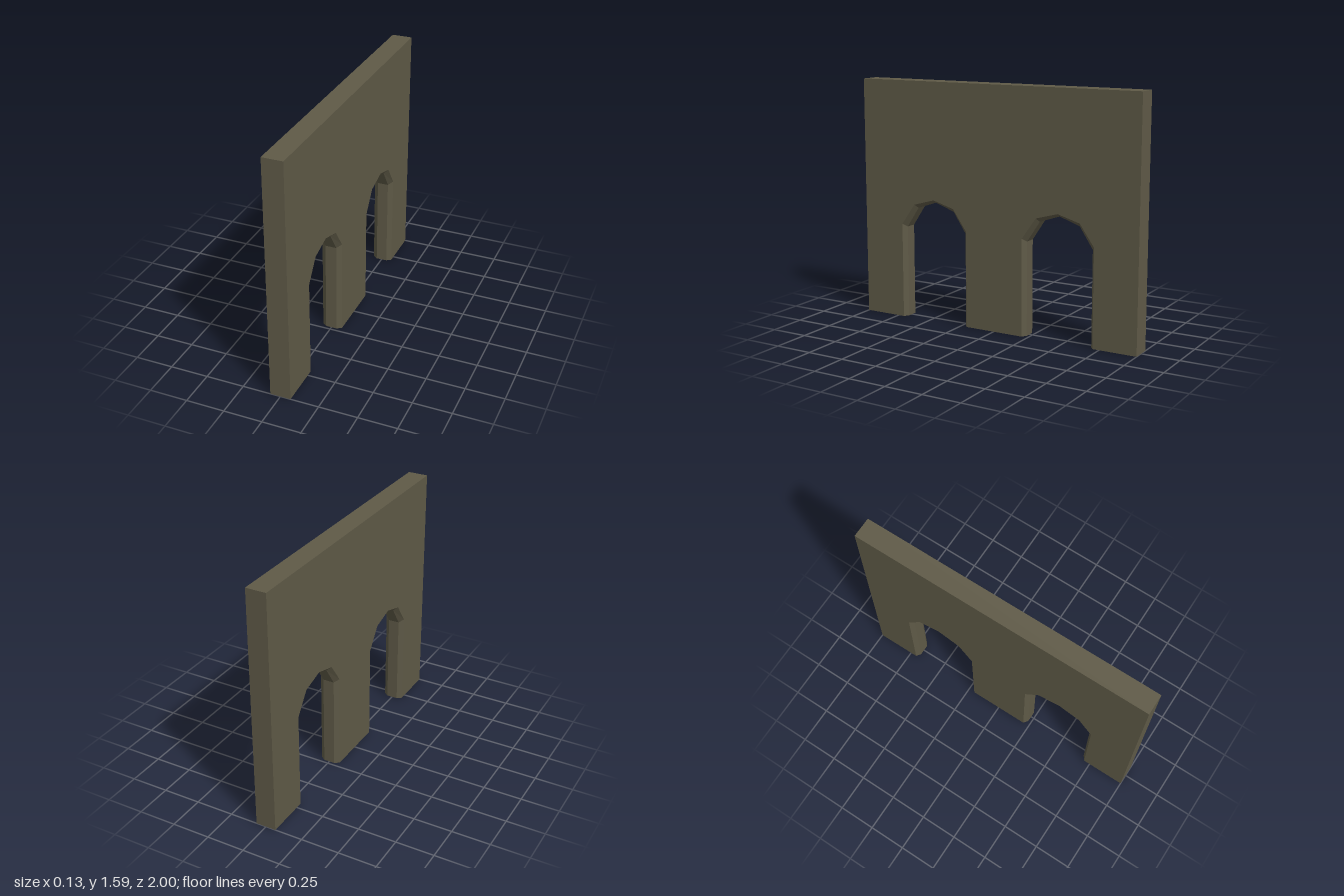
import * as THREE from 'three';

const HALF = 0.067;      // half thickness of the wall
const CORE = 0.037;      // half thickness between the chamfers
const HEIGHT = 1.593;
const ARCH_Z = 0.456;    // arch centres at +/- this z

// Half arch outlines [offset from arch centre, height], foot to apex
const mirrorArch = half => [
  ...half.map(([d, y]) => [-d, y]),
  ...half.slice(0, -1).reverse(),
];
const OUTER = mirrorArch([[0.25, 0], [0.25, 0.638], [0.152, 0.777], [0, 0.82]]);
const INNER = mirrorArch([[0.228, 0], [0.228, 0.617], [0.138, 0.753], [0, 0.8]]);

const shapeOf = points => new THREE.Shape(points.map(([x, y]) => new THREE.Vector2(x, y)));

// Chamfered lining of one arch, lofted across the thickness
function archReveal(centre) {
  const sections = [[-HALF, OUTER], [-CORE, INNER], [CORE, INNER], [HALF, OUTER]];
  const positions = [];
  const corner = (s, i) => {
    const [x, outline] = sections[s];
    return [x, outline[i][1], centre - outline[i][0]];
  };
  for (let s = 0; s < sections.length - 1; s++) {
    for (let i = 0; i < OUTER.length - 1; i++) {
      const a = corner(s, i), b = corner(s, i + 1);
      const c = corner(s + 1, i + 1), d = corner(s + 1, i);
      positions.push(...a, ...b, ...c, ...a, ...c, ...d);
    }
  }
  const geometry = new THREE.BufferGeometry();
  geometry.setAttribute('position', new THREE.Float32BufferAttribute(positions, 3));
  geometry.computeVertexNormals();
  return geometry;
}

export function createModel() {
  const wall = new THREE.Group();
  wall.name = 'archedWall';
  const stone = new THREE.MeshStandardMaterial({ color: 0x5f5a47 });
  stone.name = 'oliveStone';

  const add = (name, geometry, x = 0, y = 0, z = 0) => {
    const mesh = new THREE.Mesh(geometry, stone);
    mesh.name = name;
    mesh.position.set(x, y, z);
    wall.add(mesh);
  };

  // Broad faces with both archways cut from the bottom edge
  const outline = [
    [-1, 0],
    ...OUTER.map(([d, y]) => [d - ARCH_Z, y]),
    ...OUTER.map(([d, y]) => [d + ARCH_Z, y]),
    [1, 0], [1, HEIGHT], [-1, HEIGHT],
  ];
  for (const side of [1, -1]) {
    const face = new THREE.ShapeGeometry(shapeOf(outline)).rotateY(side * Math.PI / 2);
    add(side > 0 ? 'leftFace' : 'rightFace', face, side * HALF);
  }

  // Top and end faces
  add('topFace', new THREE.PlaneGeometry(2 * HALF, 2).rotateX(-Math.PI / 2), 0, HEIGHT);
  add('frontEnd', new THREE.PlaneGeometry(2 * HALF, HEIGHT), 0, HEIGHT / 2, 1);
  add('backEnd', new THREE.PlaneGeometry(2 * HALF, HEIGHT).rotateY(Math.PI), 0, HEIGHT / 2, -1);

  // Chamfered arch linings
  add('frontArchReveal', archReveal(ARCH_Z));
  add('backArchReveal', archReveal(-ARCH_Z));

  // Undersides of the three piers, following the chamfers
  const jamb = (centre, side) => [
    [-HALF, centre + side * 0.25], [-CORE, centre + side * 0.228],
    [CORE, centre + side * 0.228], [HALF, centre + side * 0.25],
  ];
  const end = z => [[-HALF, z], [HALF, z]];
  const piers = {
    backPierFoot: [end(-1), jamb(-ARCH_Z, -1)],
    middlePierFoot: [jamb(-ARCH_Z, 1), jamb(ARCH_Z, -1)],
    frontPierFoot: [jamb(ARCH_Z, 1), end(1)],
  };
  for (const [name, [low, high]] of Object.entries(piers)) {
    const foot = new THREE.ShapeGeometry(shapeOf([...low, ...high.reverse()]));
    add(name, foot.rotateX(Math.PI / 2));
  }
  return wall;
}
